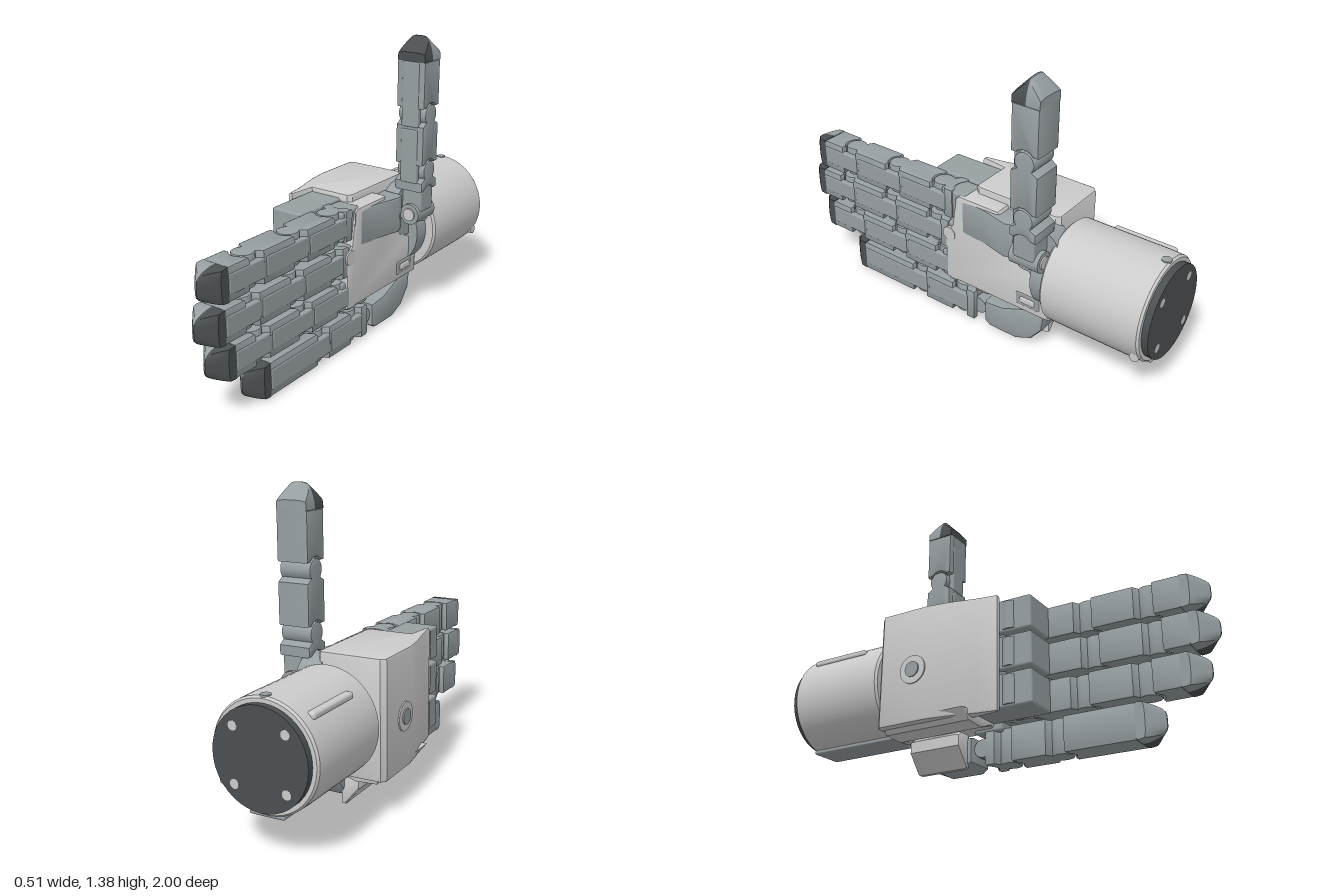
import * as THREE from 'three';
import { toCreasedNormals } from 'three/addons/utils/BufferGeometryUtils.js';
import { RoundedBoxGeometry } from 'three/addons/geometries/RoundedBoxGeometry.js';

const shell = new THREE.MeshStandardMaterial({ color: 0xcccccc });
const joint = new THREE.MeshStandardMaterial({ color: 0x979fa2 });
const dark = new THREE.MeshStandardMaterial({ color: 0x4b4f51 });

function add(parent, name, geo, mat, x = 0, y = 0, z = 0) {
  const mesh = new THREE.Mesh(geo, mat);
  mesh.name = name;
  mesh.position.set(x, y, z);
  parent.add(mesh);
  return mesh;
}

// Bevelled prism. Outline is (z,y) for axis x, (x,z) for axis y, (x,y) for axis z.
function prism(points, axis, from, to, bevel = 0.015) {
  const shape = new THREE.Shape(points.map(p => new THREE.Vector2(p[0], p[1])));
  const geo = new THREE.ExtrudeGeometry(shape, {
    depth: to - from - 2 * bevel, bevelThickness: bevel, bevelSize: bevel,
    bevelOffset: -bevel, bevelSegments: 2,
  });
  geo.translate(0, 0, bevel);
  if (axis === 'x') geo.rotateY(-Math.PI / 2).translate(to, 0, 0);
  else if (axis === 'y') geo.rotateX(Math.PI / 2).translate(0, to, 0);
  else geo.translate(0, 0, from);
  return toCreasedNormals(geo, 0.6);
}

function box(w, h, d, r = 0.012) {
  return new RoundedBoxGeometry(w, h, d, 2, r);
}

function cyl(r, length, axis, r2 = r) {
  const geo = new THREE.CylinderGeometry(r, r2, length, 40);
  if (axis === 'x') geo.rotateZ(-Math.PI / 2);
  if (axis === 'z') geo.rotateX(Math.PI / 2);
  return geo;
}

function arc(cy, r, a0, a1, n = 12) {
  return Array.from({ length: n + 1 }, (_, i) => {
    const a = THREE.MathUtils.degToRad(a0 + (a1 - a0) * i / n);
    return [r * Math.cos(a), cy + r * Math.sin(a)];
  });
}

const H = 0.067; // half thickness of a digit

// Segment with a socket at y0 and a hinge knob (or a flat end) at y1
function segment(y0, y1, width, knob) {
  const end = knob
    ? [[H, y1 - 0.05], ...arc(y1, 0.05, -40, 220, 20), [-H, y1 - 0.05]]
    : [[H, y1], [-H, y1]];
  const outline = [[-H, y0 + 0.036], ...arc(y0, 0.055, 140, 40), [H, y0 + 0.036], ...end];
  return prism(outline, 'x', -width / 2, width / 2, 0.01);
}

// Half of a fingertip: side +1 is the gripping pad, -1 the back
function tipHalf(width, side) {
  const len = 0.11;
  const geo = new THREE.BoxGeometry(width, len, H, 8, 8, 1);
  geo.translate(0, len / 2, side * H / 2);
  const p = geo.attributes.position;
  for (let i = 0; i < p.count; i++) {
    const t = p.getY(i) / len;
    const u = Math.abs(p.getX(i)) / (width / 2);
    p.setX(i, p.getX(i) * (1 - 0.32 * t * t));
    p.setY(i, p.getY(i) - 0.018 * t * u ** 4);
    p.setZ(i, p.getZ(i) * (t < 0.4 ? 1 : 1 - (t - 0.4) / 0.6 * 0.94));
  }
  return toCreasedNormals(geo, 0.5);
}

// A digit grows along +y with its gripping side toward +z
function digit(name, joints, tip, width = 0.15) {
  const g = new THREE.Group();
  g.name = name;
  const stops = [joints[0] - 0.13, ...joints, tip - 0.11];
  for (let i = 0; i < stops.length - 1; i++) {
    const last = i === stops.length - 2;
    add(g, 'segment', segment(stops[i], stops[i + 1], width, !last), joint);
    if (i === 0) continue;
    // tongue over the hinge, and hinge pin
    const lo = stops[i] - 0.055, hi = stops[i + 1] - (last ? 0 : 0.065);
    add(g, 'gripPlate', box(width * 0.6, hi - lo, 0.03, 0.008), joint, 0, (lo + hi) / 2, H - 0.011);
    add(g, 'hingePin', cyl(0.036, width - 0.004, 'x'), joint, 0, stops[i], 0);
  }
  add(g, 'tipPad', tipHalf(width - 0.004, 1), dark, 0, tip - 0.11, 0);
  add(g, 'tipBack', tipHalf(width - 0.004, -1), joint, 0, tip - 0.11, 0);
  return g;
}

function buildWrist(g) {
  add(g, 'wristSleeve', toCreasedNormals(new THREE.LatheGeometry(
    [[0, -0.97], [0.23, -0.97], [0.238, -0.96], [0.24, -0.9], [0.24, -0.5], [0.23, -0.49], [0, -0.49]]
      .map(p => new THREE.Vector2(...p)), 64).rotateX(Math.PI / 2), 0.6), shell, 0, 0.42, 0);
  add(g, 'wristNeck', cyl(0.19, 0.1, 'z'), joint, 0, 0.42, -0.46);
  add(g, 'wristEndCap', cyl(0.213, 0.04, 'z'), dark, 0, 0.42, -0.98);
  for (let i = 0; i < 4; i++) {
    const a = Math.PI / 4 + i * Math.PI / 2;
    add(g, 'endScrew', cyl(0.02, 0.012, 'z'), shell, 0.165 * Math.cos(a), 0.42 + 0.165 * Math.sin(a), -0.995);
  }
  add(g, 'topScrew', cyl(0.022, 0.014, 'y'), joint, 0, 0.655, -0.945);
  add(g, 'sideScrew', cyl(0.022, 0.02, 'x'), shell, 0.2, 0.29, -0.945);
  add(g, 'sleeveRib', box(0.045, 0.03, 0.3), shell, -0.165, 0.588, -0.76);
  add(g, 'lowerRail', box(0.16, 0.02, 0.46, 0.008), joint, 0, 0.186, -0.735);
}

function buildPalm(g) {
  // back cover, narrowing toward the knuckles
  add(g, 'backCover', prism([[-0.23, -0.47], [0.05, -0.47], [0.065, -0.45], [0.065, -0.04], [0.05, -0.02],
    [-0.15, -0.02], [-0.165, 0.11], [-0.185, 0.11], [-0.2, 0.02], [-0.235, -0.12], [-0.25, -0.22], [-0.25, -0.45]],
  'y', 0.17, 0.705, 0.012), shell);
  add(g, 'lowerCover', prism([[-0.24, 0.2], [-0.2, 0.15], [-0.1, 0.145], [0.06, 0.2]], 'z', -0.45, -0.02, 0.008), shell);
  add(g, 'backButtonRing', cyl(0.065, 0.02, 'x'), shell, -0.246, 0.41, -0.28);
  add(g, 'backButton', cyl(0.035, 0.03, 'x'), joint, -0.247, 0.41, -0.28);
  // palm plate, notched for the thumb
  add(g, 'palmPlate', prism([[0.1, 0.2], [0.1, 0.46], [0.06, 0.5], [0.04, 0.65], [0.02, 0.67], [-0.2, 0.67],
    [-0.22, 0.62], [-0.27, 0.52], [-0.33, 0.45], [-0.4, 0.41], [-0.48, 0.41], [-0.48, 0.2]],
  'x', 0.0, 0.142), shell);
  add(g, 'palmHeel', prism([[0.06, 0.04], [0.14, 0.04], [0.147, -0.12], [0.18, -0.26], [0.165, -0.3], [0.06, -0.31]],
    'y', 0.48, 0.655, 0.01), joint);
  add(g, 'palmBump', cyl(0.035, 0.03, 'x'), shell, 0.13, 0.45, 0.075);
  add(g, 'palmSlot', box(0.02, 0.07, 0.13), joint, 0.136, 0.265, -0.37);
  add(g, 'slotCover', box(0.02, 0.035, 0.08), shell, 0.142, 0.265, -0.37);
  add(g, 'topVent', box(0.14, 0.04, 0.1), joint, -0.075, 0.65, -0.01);
}

function buildKnuckles(g) {
  for (const y of [0.605, 0.435, 0.265]) {
    add(g, 'knuckleBlock', box(0.17, 0.155, 0.29), joint, -0.075, y, 0.115);
    add(g, 'knuckleHinge', cyl(0.045, 0.13, 'y'), joint, -0.125, y, 0.15);
    add(g, 'fingerRoot', box(0.12, 0.14, 0.14), joint, 0.07, y, 0.06);
  }
  add(g, 'knuckleCore', box(0.14, 0.46, 0.14), joint, -0.07, 0.43, 0.05);
}

function buildThumb(g) {
  add(g, 'thumbSocket', cyl(0.13, 0.1, 'x'), joint, 0.09, 0.55, -0.4);
  add(g, 'thumbShaft', cyl(0.045, 0.12, 'x'), joint, 0.17, 0.55, -0.405);
  add(g, 'thumbHinge', cyl(0.05, 0.15, 'z'), joint, 0.19, 0.55, -0.405);
  add(g, 'thumbHingeCap', cyl(0.03, 0.165, 'z'), shell, 0.19, 0.55, -0.405);
  add(g, 'thumbRoot', box(0.11, 0.14, 0.11), joint, 0.185, 0.63, -0.405);
  const thumb = digit('thumb', [0.76, 1.03], 1.39);
  thumb.position.set(0.175, 0, -0.405);
  g.add(thumb);
}

function buildFingers(g) {
  const list = [
    ['indexFinger', 0.605, [0.155, 0.43, 0.71], 0.975, 0.15],
    ['middleFinger', 0.435, [0.18, 0.46, 0.74], 1.0, 0.15],
    ['ringFinger', 0.265, [0.13, 0.405, 0.685], 0.95, 0.15],
    ['littleFinger', 0.09, [0.03, 0.28], 0.745, 0.16],
  ];
  // lay each digit along +z with its gripping side toward +x
  const turn = new THREE.Matrix4().makeBasis(new THREE.Vector3(0, 1, 0),
    new THREE.Vector3(0, 0, 1), new THREE.Vector3(1, 0, 0));
  for (const [name, y, joints, tip, width] of list) {
    const f = digit(name, joints, tip, width);
    f.quaternion.setFromRotationMatrix(turn);
    f.position.set(0.07, y, 0);
    g.add(f);
  }
  // little finger carrier under the palm
  add(g, 'littleFingerMount', prism([[-0.12, 0.03], [-0.15, 0.01], [-0.3, 0.01], [-0.38, 0.045], [-0.44, 0.12],
    [-0.45, 0.2], [-0.34, 0.2], [-0.22, 0.15], [-0.12, 0.14]], 'x', -0.02, 0.13), joint);
  add(g, 'mountFlank', prism([[-0.09, 0.09], [-0.02, 0.005], [0.0, 0.005], [0.0, 0.16], [-0.06, 0.16], [-0.09, 0.14]],
    'z', -0.4, -0.14), shell);
  add(g, 'mountHinge', cyl(0.04, 0.11, 'x'), joint, 0.06, 0.09, -0.08);
  add(g, 'mountLink', box(0.08, 0.05, 0.14), joint, 0.065, 0.09, -0.08);
  add(g, 'mountBracket', box(0.1, 0.06, 0.14), joint, 0.05, 0.185, -0.05);
}

export function createModel() {
  const g = new THREE.Group();
  g.name = 'roboticHand';
  for (const build of [buildWrist, buildPalm, buildKnuckles, buildThumb, buildFingers]) build(g);
  return g;
}
